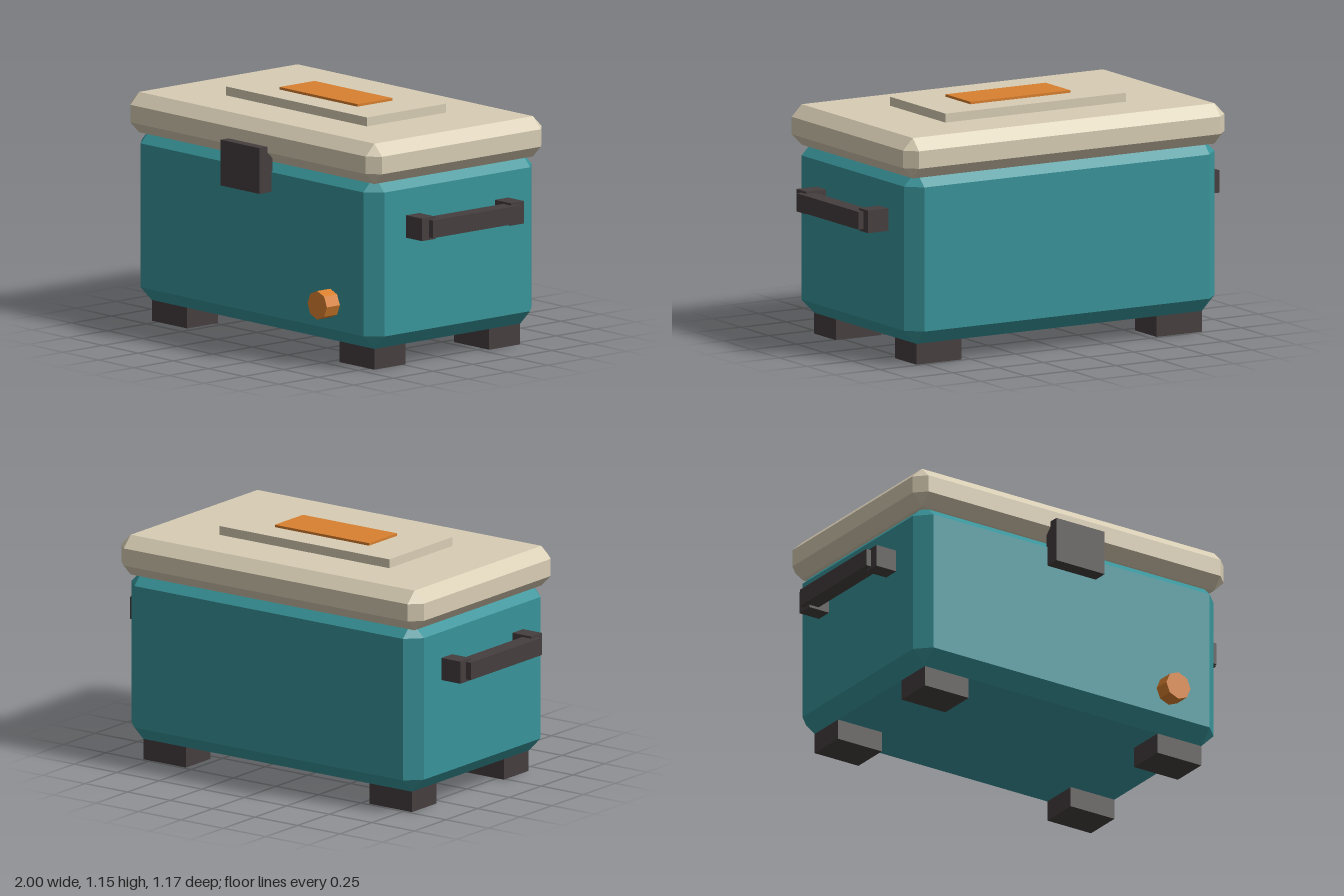
import * as THREE from 'three';
import { ConvexGeometry } from 'three/addons/geometries/ConvexGeometry.js';

const material = (name, color) => {
  const m = new THREE.MeshStandardMaterial({ color });
  m.name = name;
  return m;
};

// Box with every edge cut at 45 degrees: each corner becomes a triangle
function chamferedBox(w, h, d, c) {
  const points = [];
  for (const x of [-1, 1]) for (const y of [-1, 1]) for (const z of [-1, 1]) {
    for (const axis of [0, 1, 2]) {
      const inset = [c, c, c];
      inset[axis] = 0;
      points.push(new THREE.Vector3(
        x * (w / 2 - inset[0]), y * (h / 2 - inset[1]), z * (d / 2 - inset[2])));
    }
  }
  return new ConvexGeometry(points);
}

export function createModel() {
  const model = new THREE.Group();
  model.name = 'coolBox';

  const teal = material('teal', 0x38949a);
  const cream = material('cream', 0xd8cdb4);
  const charcoal = material('charcoal', 0x453e3f);
  const orange = material('orange', 0xd9802f);

  const midZ = -0.027;

  const add = (name, geometry, mat, x, y, z) => {
    const mesh = new THREE.Mesh(geometry, mat);
    mesh.name = name;
    mesh.position.set(x, y, z);
    model.add(mesh);
    return mesh;
  };
  const box = (name, mat, w, h, d, x, y, z) =>
    add(name, new THREE.BoxGeometry(w, h, d), mat, x, y, z);

  // Body and lid
  add('body', chamferedBox(1.72, 0.832, 1.06, 0.07), teal, 0, 0.516, midZ);
  add('lid', chamferedBox(1.78, 0.194, 1.11, 0.055), cream, 0, 1.002, midZ);

  // Raised panel with its badge plate
  box('lidPanel', cream, 1.0, 0.06, 0.5, 0, 1.112, midZ);
  box('lidPlate', orange, 0.554, 0.03, 0.222, 0, 1.139, midZ);

  // Front latch
  box('latch', charcoal, 0.276, 0.22, 0.083, 0, 0.877, 0.5365);

  // Eight-sided drain plug
  const plug = add('drainPlug', new THREE.CylinderGeometry(0.069, 0.069, 0.11, 8).toNonIndexed(),
    orange, 0.555, 0.295, 0.53);
  plug.geometry.computeVertexNormals();
  plug.rotation.x = Math.PI / 2;

  for (const side of [-1, 1]) {
    const label = side > 0 ? 'left' : 'right';

    // Carry handle: two brackets and a grip bar
    for (const end of [-1, 1]) {
      box(label + 'HandleBracket', charcoal, 0.125, 0.108, 0.084,
        side * 0.91, 0.681, midZ + end * 0.28);
      // Feet
      box(label + 'Foot', charcoal, 0.25, 0.11, 0.195,
        side * 0.665, 0.055, midZ + end * 0.362);
    }
    box(label + 'HandleGrip', charcoal, 0.081, 0.085, 0.555, side * 0.9595, 0.682, midZ);
  }

  return model;
}
